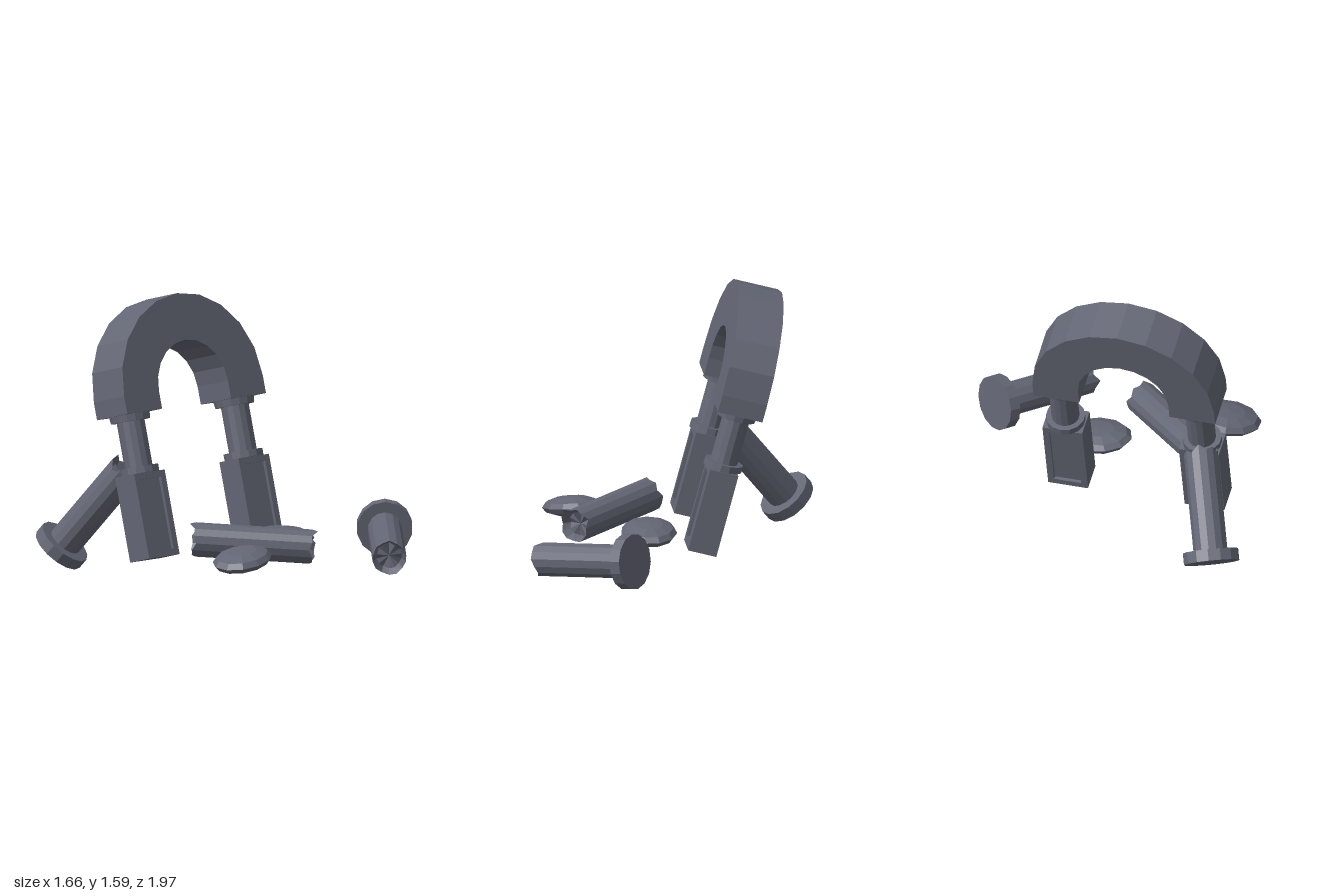
import * as THREE from 'three';

const stone = new THREE.MeshStandardMaterial({ color: 0x626573 });
stone.name = 'slate stone';
stone.flatShading = true;

function add(parent, name, geometry, x = 0, y = 0, z = 0) {
  const mesh = new THREE.Mesh(geometry, stone);
  mesh.name = name;
  mesh.position.set(x, y, z);
  parent.add(mesh);
  return mesh;
}

// Horseshoe arch with straight feet
function archGeometry(outer, inner, foot, depth) {
  const pts = [];
  const n = 10;
  pts.push(new THREE.Vector2(outer, -foot));
  for (let i = 0; i <= n; i++) {
    const a = (i / n) * Math.PI;
    pts.push(new THREE.Vector2(Math.cos(a) * outer, Math.sin(a) * outer));
  }
  pts.push(new THREE.Vector2(-outer, -foot), new THREE.Vector2(-inner, -foot));
  for (let i = n; i >= 0; i--) {
    const a = (i / n) * Math.PI;
    pts.push(new THREE.Vector2(Math.cos(a) * inner, Math.sin(a) * inner));
  }
  pts.push(new THREE.Vector2(inner, -foot));
  const geo = new THREE.ExtrudeGeometry(new THREE.Shape(pts), { depth, bevelEnabled: false });
  return geo.translate(0, 0, -depth / 2);
}

// Rectangular frame that surrounds a recessed panel
function frameGeometry(w, h, border, depth) {
  const rect = (P, a, b) => {
    const p = new P();
    p.moveTo(-a, -b);
    p.lineTo(a, -b);
    p.lineTo(a, b);
    p.lineTo(-a, b);
    p.closePath();
    return p;
  };
  const shape = rect(THREE.Shape, w / 2, h / 2);
  shape.holes.push(rect(THREE.Path, w / 2 - border, h / 2 - border));
  return new THREE.ExtrudeGeometry(shape, { depth, bevelEnabled: false });
}

// Pedestal, collars and column of one side
function supportColumn(name, x) {
  const g = new THREE.Group();
  g.name = name;
  g.position.x = x;
  const w = 0.24, h = 0.5, d = 0.17, inset = 0.02;
  add(g, 'pedestalCore', new THREE.BoxGeometry(w, h, d - 2 * inset), 0, h / 2, 0);
  const frame = frameGeometry(w, h, 0.038, inset);
  add(g, 'frontFrame', frame, 0, h / 2, d / 2 - inset);
  add(g, 'backFrame', frame, 0, h / 2, -d / 2);
  add(g, 'lowerCollar', new THREE.CylinderGeometry(0.115, 0.115, 0.04, 14), 0, h + 0.02, 0);
  add(g, 'column', new THREE.CylinderGeometry(0.082, 0.082, 0.32, 14), 0, 0.68, 0);
  add(g, 'upperCollar', new THREE.CylinderGeometry(0.12, 0.115, 0.04, 14), 0, 0.83, 0);
  return g;
}

// Column shaft whose ends may be jagged; runs from y = 0 to y = length
function brokenShaft(r, length, jagBottom, seed) {
  const dent = jagBottom ? 0.05 : 0;
  const profile = [
    [0, dent], [r * 0.75, dent], [r, 0], [r, length],
    [r * 0.75, length - 0.05], [0, length - 0.06],
  ].map(([x, y]) => new THREE.Vector2(x, y));
  const sides = 14;
  const geo = new THREE.LatheGeometry(profile, sides);
  const pos = geo.attributes.position;
  for (let i = 0; i < pos.count; i++) {
    const row = i % profile.length;
    const side = Math.floor(i / profile.length) % sides;
    const jag = 0.028 * Math.sin(side * 2.3 + seed) * Math.cos(side * 1.1 + seed * 2);
    if (row === 3 || row === 4) pos.setY(i, pos.getY(i) + jag);
    if (jagBottom && (row === 1 || row === 2)) pos.setY(i, pos.getY(i) - jag);
  }
  geo.computeVertexNormals();
  return geo;
}

// Fallen column laid from point a to point b
function fallenColumn(name, a, b, hasBase, seed) {
  const g = new THREE.Group();
  g.name = name;
  const from = new THREE.Vector3(...a);
  const dir = new THREE.Vector3(...b).sub(from);
  const length = dir.length();
  g.position.copy(from);
  g.quaternion.setFromUnitVectors(new THREE.Vector3(0, 1, 0), dir.normalize());
  add(g, 'shaft', brokenShaft(0.1, length, !hasBase, seed));
  if (hasBase) add(g, 'roundBase', new THREE.CylinderGeometry(0.163, 0.163, 0.068, 14), 0, 0.034, 0);
  return g;
}

export function createModel() {
  const model = new THREE.Group();
  model.name = 'ruinedArchway';

  // Leaning archway
  const archway = new THREE.Group();
  archway.name = 'leaningArchway';
  archway.position.set(-0.165, 0.11, -0.135);
  archway.rotation.set(THREE.MathUtils.degToRad(-15), THREE.MathUtils.degToRad(-11), 0, 'YXZ');
  archway.add(supportColumn('leftSupport', 0.411), supportColumn('rightSupport', -0.411));
  add(archway, 'arch', archGeometry(0.547, 0.272, 0.105, 0.27), 0, 0.955, 0);
  model.add(archway);

  // Broken columns around it
  model.add(
    fallenColumn('backFallenColumn', [-0.635, 0.105, -0.865], [-0.54, 0.605, -0.445], true, 1),
    fallenColumn('frontFallenColumn', [0.727, 0.2, 0.487], [0.22, 0.115, 0.9], true, 2),
    fallenColumn('middleFallenColumn', [-0.52, 0.24, 0.03], [-0.125, 0.2, 0.6], false, 3),
  );

  // Flat faceted boulders
  const boulders = [
    ['rightBoulder', [-0.63, 0.18, 0.465], 10, 10],
    ['leftBoulder', [0.105, 0.195, 0.215], -12, -5],
  ];
  for (const [name, p, yaw, roll] of boulders) {
    const rock = add(model, name, new THREE.SphereGeometry(1, 11, 6), ...p);
    rock.scale.set(0.205, 0.06, 0.165);
    rock.rotation.set(0, THREE.MathUtils.degToRad(yaw), THREE.MathUtils.degToRad(roll));
  }
  return model;
}
